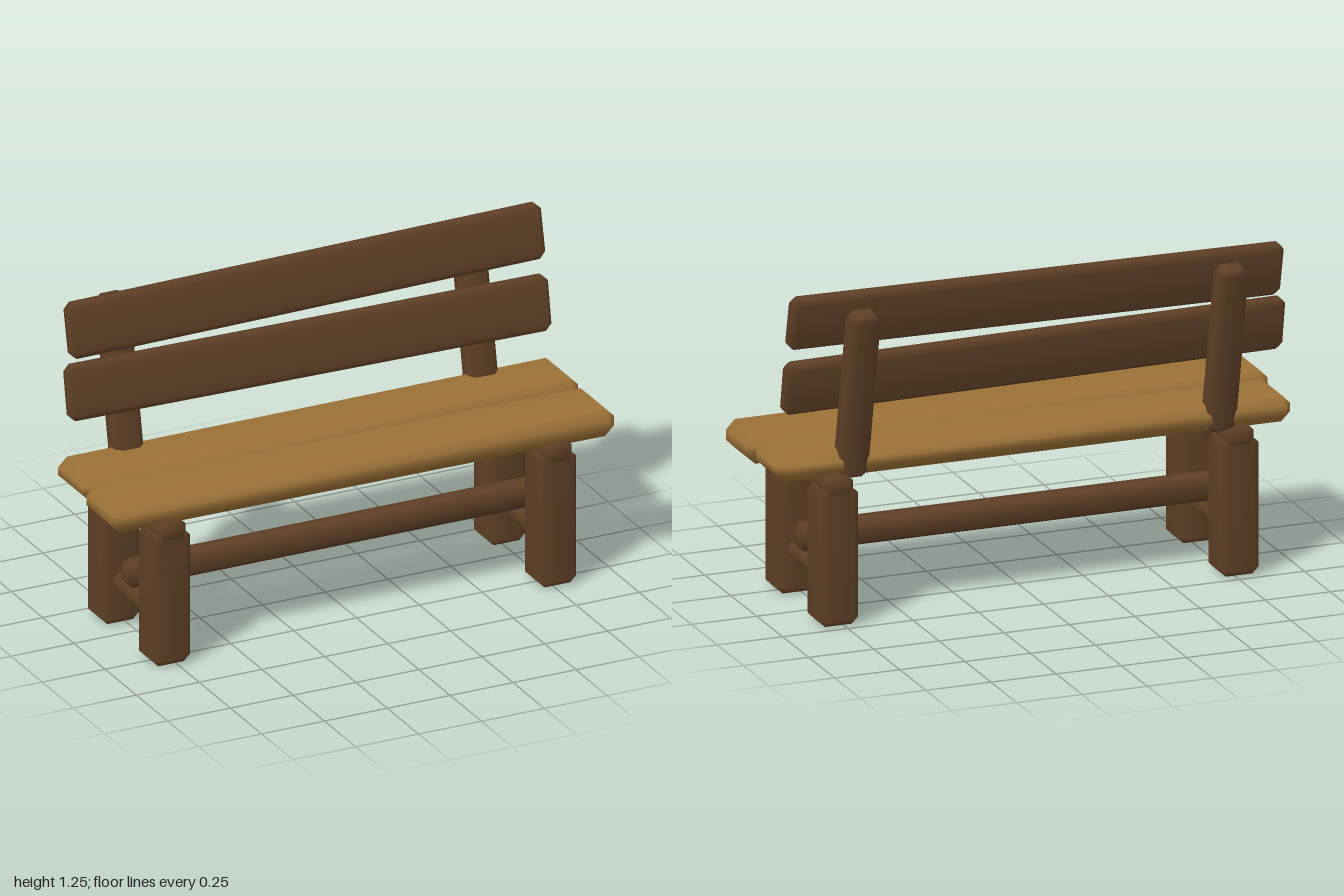
import * as THREE from 'three';
import { mergeVertices } from 'three/addons/utils/BufferGeometryUtils.js';
import { ConvexGeometry } from 'three/addons/geometries/ConvexGeometry.js';

// Box with chamfered edges and softly shaded bevels
function chamferBox(w, h, d, c) {
  const points = [];
  for (const sx of [-1, 1]) for (const sy of [-1, 1]) for (const sz of [-1, 1]) {
    const [x, y, z] = [sx * w / 2, sy * h / 2, sz * d / 2];
    const [ix, iy, iz] = [x - sx * c, y - sy * c, z - sz * c];
    points.push(
      new THREE.Vector3(x, iy, iz),
      new THREE.Vector3(ix, y, iz),
      new THREE.Vector3(ix, iy, z)
    );
  }
  let geometry = new ConvexGeometry(points);
  geometry.deleteAttribute('normal');
  geometry = mergeVertices(geometry, 1e-5);
  geometry.computeVertexNormals();
  return geometry;
}

export function createModel() {
  const bench = new THREE.Group();
  bench.name = 'bench';

  const darkWood = new THREE.MeshStandardMaterial({ color: 0x5f4026 });
  darkWood.name = 'dark wood';
  const lightWood = new THREE.MeshStandardMaterial({ color: 0x9c7237 });
  lightWood.name = 'light wood';

  function beam(name, material, size, chamfer, position, lean = 0, roll = 0) {
    const mesh = new THREE.Mesh(chamferBox(...size, chamfer), material);
    mesh.name = name;
    mesh.position.set(...position);
    mesh.rotation.set(lean, 0, roll);
    bench.add(mesh);
  }

  // Seat planks, each slightly out of level
  beam('frontSeatPlank', lightWood, [2, 0.108, 0.265], 0.035, [0, 0.595, 0.2], 0, -0.005);
  beam('backSeatPlank', lightWood, [1.975, 0.1, 0.255], 0.035, [0.012, 0.599, -0.083], 0, 0.002);

  // Backrest planks, leaning back and a little crooked
  beam('upperBackPlank', darkWood, [1.89, 0.207, 0.07], 0.024, [0.01, 1.14, -0.188], -0.2, 0.011);
  beam('lowerBackPlank', darkWood, [1.915, 0.207, 0.07], 0.024, [-0.002, 0.9, -0.14], -0.2, -0.011);

  // End frames
  for (const side of [-1, 1]) {
    const label = side > 0 ? 'left' : 'right';
    const x = side * 0.768;
    beam(label + 'FrontLeg', darkWood, [0.15, 0.515, 0.155], 0.024, [x, 0.2575, 0.258]);
    beam(label + 'BackLeg', darkWood, [0.15, 0.515, 0.155], 0.024, [x, 0.2575, -0.15]);
    beam(label + 'SeatSupport', darkWood, [0.11, 0.09, 0.56], 0.02, [x, 0.515, 0.055]);
    beam(label + 'LegBrace', darkWood, [0.08, 0.075, 0.4], 0.02, [x, 0.168, 0.055]);
    beam(label + 'BackPost', darkWood, [0.115, 0.66, 0.098], 0.024,
      [side * 0.705, 0.87, -0.225], -0.2);
  }

  // Long stretcher resting on the leg braces
  beam('stretcher', darkWood, [1.66, 0.1, 0.09], 0.024, [0, 0.259, 0.055]);

  return bench;
}
